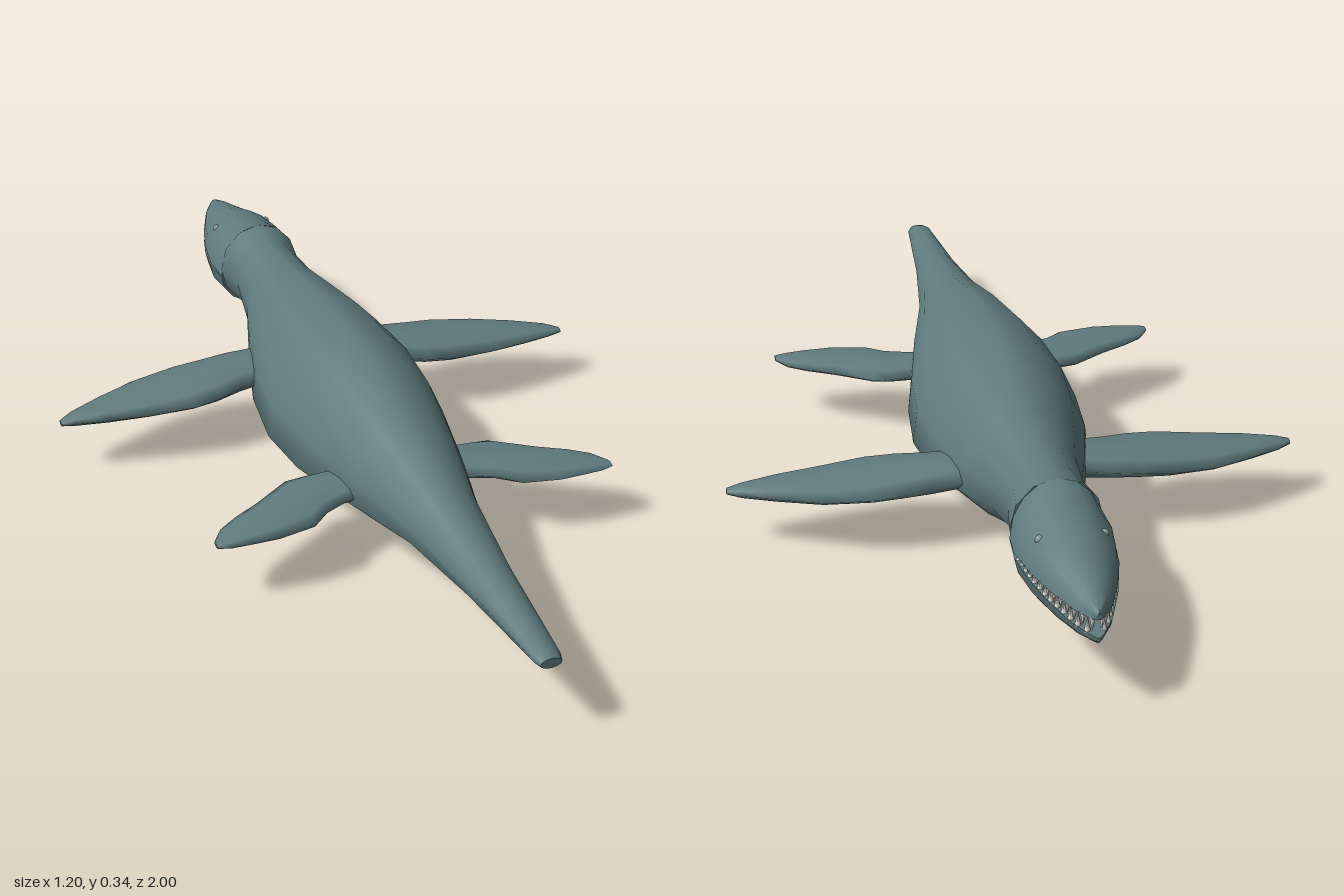
import * as THREE from 'three';
import { toCreasedNormals } from 'three/addons/utils/BufferGeometryUtils.js';

const skin = new THREE.MeshStandardMaterial({ color: 0x5f7b7e });
skin.name = 'slate skin';
const ivory = new THREE.MeshStandardMaterial({ color: 0xeeece4 });
ivory.name = 'ivory teeth';
const eyeGrey = new THREE.MeshStandardMaterial({ color: 0x84989a });
eyeGrey.name = 'eye grey';

// Skin a list of rings (counter-clockwise seen from the first ring's outside) and cap both ends.
function loft(rings) {
  const n = rings[0].length, pos = rings.flat(2), idx = [];
  for (let i = 0; i < rings.length - 1; i++) {
    for (let j = 0; j < n; j++) {
      const a = i * n + j, b = i * n + (j + 1) % n;
      idx.push(a, a + n, b, b, a + n, b + n);
    }
  }
  for (const last of [false, true]) {
    const ring = rings[last ? rings.length - 1 : 0], start = pos.length / 3;
    const mid = [0, 1, 2].map(k => ring.reduce((s, p) => s + p[k], 0) / n);
    pos.push(...ring.flat(), ...mid);
    for (let j = 0; j < n; j++) {
      const a = start + j, b = start + (j + 1) % n;
      idx.push(start + n, last ? b : a, last ? a : b);
    }
  }
  const geo = new THREE.BufferGeometry();
  geo.setAttribute('position', new THREE.Float32BufferAttribute(pos, 3));
  geo.setIndex(idx);
  geo.computeVertexNormals();
  return geo;
}

function add(parent, name, geo, mat) {
  const mesh = new THREE.Mesh(geo, mat);
  mesh.name = name;
  parent.add(mesh);
  return mesh;
}

// Linear lookup in rows keyed by their first value, which runs downwards.
function sample(rows, z) {
  let i = 0;
  while (i < rows.length - 2 && rows[i + 1][0] > z) i++;
  const t = (z - rows[i][0]) / (rows[i + 1][0] - rows[i][0]);
  return rows[i].map((v, k) => v + (rows[i + 1][k] - v) * t);
}

// Trunk: z, half width, top, bottom, blend from deep-bellied to round section
const TRUNK = [
  [1.0, 0.022, 0.184, 0.162, 1], [0.98, 0.028, 0.19, 0.158, 1], [0.72, 0.05, 0.218, 0.128, 0.8],
  [0.5, 0.08, 0.252, 0.1, 0.5], [0.3, 0.128, 0.302, 0.054, 0.2], [0.1, 0.17, 0.34, 0.012, 0],
  [-0.05, 0.183, 0.347, 0.003, 0], [-0.2, 0.168, 0.339, 0.02, 0], [-0.35, 0.13, 0.317, 0.055, 0.2],
  [-0.46, 0.095, 0.3, 0.092, 0.6], [-0.57, 0.08, 0.297, 0.11, 1], [-0.65, 0.093, 0.306, 0.104, 1],
];
// Half section of the chest: width fraction, height fraction
const CHEST = [[0, 0], [0.62, 0.09], [1, 0.28], [0.95, 0.51], [0.76, 0.73], [0.46, 0.9], [0, 1]];

function trunkRing([z, w, top, bottom, round]) {
  const half = CHEST.map(([x, h], i) => {
    const a = (i / 6 - 0.5) * Math.PI;
    const px = x + (Math.cos(a) - x) * round;
    const py = h + (0.5 + Math.sin(a) / 2 - h) * round;
    return [px * w, bottom + (top - bottom) * py, z];
  });
  return [...half, ...half.slice(1, -1).reverse().map(([x, y]) => [-x, y, z])];
}

// Head: z, half width, top, upper jaw edge, lower jaw edge, bottom
const HEAD = [
  [-0.65, 0.093, 0.306, 0.186, 0.185, 0.104], [-0.72, 0.098, 0.286, 0.192, 0.182, 0.099],
  [-0.8, 0.086, 0.276, 0.197, 0.179, 0.106], [-0.87, 0.067, 0.253, 0.198, 0.174, 0.12],
  [-0.95, 0.037, 0.235, 0.199, 0.169, 0.138], [-0.99, 0.013, 0.223, 0.201, 0.167, 0.15],
  [-1.0, 0.004, 0.217, 0.202, 0.165, 0.154],
];

function jaw(upper) {
  const rings = HEAD.map(([z, w, top, hi, lo, bottom]) => Array.from({ length: 9 }, (_, i) => {
    const a = (i / 8 + (upper ? 0 : 1)) * Math.PI;
    const rise = Math.sin(a);
    return [Math.cos(a) * w, upper ? hi + (top - hi) * rise : lo + (lo - bottom) * rise, z];
  }));
  return toCreasedNormals(loft(rings), 0.9);
}

// Flippers: distance out, leading z, trailing z, height, half thickness
const FRONT = [
  [0.08, -0.335, -0.22, 0.15, 0.03], [0.19, -0.35, -0.2, 0.143, 0.03], [0.25, -0.355, -0.178, 0.138, 0.028],
  [0.31, -0.358, -0.168, 0.134, 0.026], [0.41, -0.34, -0.178, 0.128, 0.021], [0.5, -0.3, -0.195, 0.125, 0.017],
  [0.57, -0.265, -0.212, 0.122, 0.011], [0.6, -0.243, -0.222, 0.12, 0.005],
];
const REAR = [
  [0.06, 0.2, 0.3, 0.142, 0.022], [0.14, 0.193, 0.315, 0.14, 0.021], [0.19, 0.19, 0.338, 0.139, 0.02],
  [0.23, 0.193, 0.375, 0.138, 0.019], [0.31, 0.248, 0.39, 0.137, 0.016], [0.37, 0.283, 0.388, 0.136, 0.013],
  [0.41, 0.312, 0.385, 0.135, 0.009], [0.436, 0.352, 0.377, 0.135, 0.004],
];

function flipper(rows, side) {
  return loft(rows.map(([x, lead, trail, y, thick]) => Array.from({ length: 8 }, (_, i) => {
    const a = side * i * Math.PI / 4;
    return [side * x, y + Math.sin(a) * thick, (lead + trail) / 2 + Math.cos(a) * (trail - lead) / 2];
  })));
}

export function createModel() {
  const model = new THREE.Group();
  model.name = 'marineReptile';

  add(model, 'trunkAndTail', loft(TRUNK.map(trunkRing)), skin);
  add(model, 'upperJaw', jaw(true), skin);
  add(model, 'lowerJaw', jaw(false), skin);

  const teeth = new THREE.Group();
  teeth.name = 'teeth';
  model.add(teeth);
  const tooth = new THREE.ConeGeometry(0.007, 1, 5);

  for (const side of [1, -1]) {
    const label = side > 0 ? 'left' : 'right';
    add(model, label + 'FrontFlipper', flipper(FRONT, side), skin);
    add(model, label + 'RearFlipper', flipper(REAR, side), skin);

    const eye = add(model, label + 'Eye', new THREE.SphereGeometry(0.009, 12, 8), eyeGrey);
    eye.position.set(side * 0.062, 0.25, -0.777);

    // Interlocking teeth along both jaw edges
    for (let i = 0; i < 26; i++) {
      const z = -0.725 - i * 0.0104, up = i % 2 === 0;
      const [, w, , hi, lo] = sample(HEAD, z);
      const height = (hi - lo) * 0.85 + 0.004;
      const mesh = add(teeth, up ? 'lowerTooth' : 'upperTooth', tooth, ivory);
      mesh.scale.y = height;
      mesh.position.set(side * Math.max(w - 0.007, 0.004), up ? lo + height / 2 - 0.003 : hi - height / 2 + 0.003, z);
      if (!up) mesh.rotation.x = Math.PI;
    }
  }
  return model;
}
